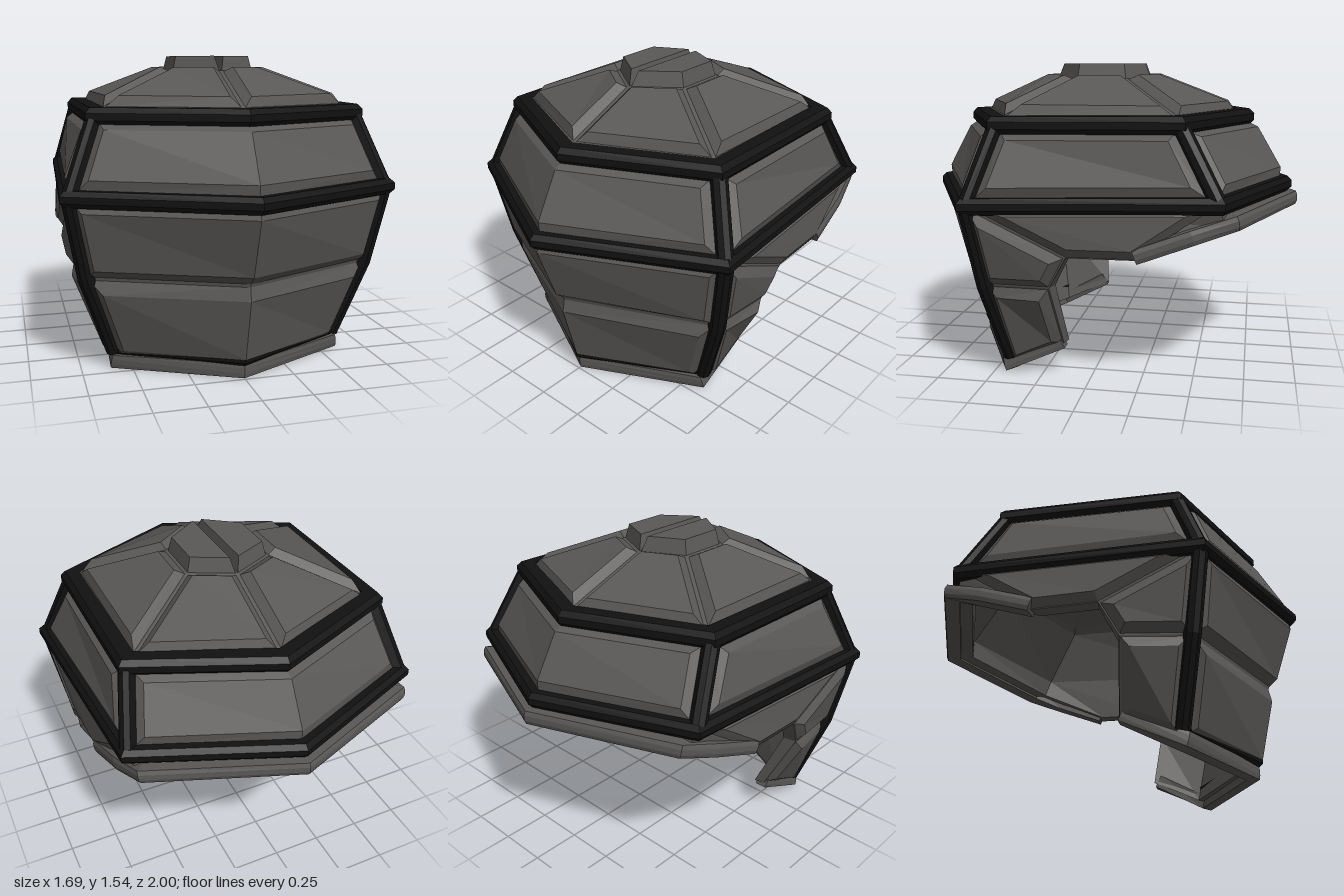
import * as THREE from 'three';

const V = (x, y, z) => new THREE.Vector3(x, y, z);
const flip = p => V(-p.x, p.y, p.z);
const grey = new THREE.MeshStandardMaterial({ color: 0x5a5856, flatShading: true });
const shellGrey = new THREE.MeshStandardMaterial({ color: 0x5a5856, flatShading: true, side: THREE.DoubleSide });
const black = new THREE.MeshStandardMaterial({ color: 0x111111, flatShading: true });

// Flat-shaded mesh from a list of polygons (corner loops)
function polyMesh(name, polys, material) {
  const pts = [];
  for (const p of polys) {
    for (let i = 1; i < p.length - 1; i++) pts.push(p[0], p[i], p[i + 1]);
  }
  const geo = new THREE.BufferGeometry().setFromPoints(pts);
  geo.computeVertexNormals();
  const mesh = new THREE.Mesh(geo, material);
  mesh.name = name;
  return mesh;
}

function loopNormal(loop) {
  const n = V(0, 0, 0);
  loop.forEach((p, i) => n.add(p.clone().cross(loop[(i + 1) % loop.length])));
  return n.normalize();
}

// Turn a loop so that it faces away from the middle of the head
function faceOut(loop) {
  const c = loop.reduce((s, p) => s.add(p), V(0, 0, 0)).divideScalar(loop.length);
  return loopNormal(loop).dot(c.sub(V(0, 0.65, 0))) < 0 ? [...loop].reverse() : loop;
}

// Shift every edge inwards by d; edges on the centre line shift by mid
function inset(loop, n, d, mid) {
  const k = loop.length;
  const edges = loop.map((p, i) => {
    const q = loop[(i + 1) % k];
    const centre = Math.abs(p.x) < 1e-4 && Math.abs(q.x) < 1e-4;
    return { n: n.clone().cross(q.clone().sub(p)).normalize(), d: centre ? mid : d };
  });
  return loop.map((p, i) => {
    const a = edges[(i + k - 1) % k], b = edges[i], c = a.n.dot(b.n), s = 1 - c * c;
    return p.clone().addScaledVector(a.n, (a.d - c * b.d) / s).addScaledVector(b.n, (b.d - c * a.d) / s);
  });
}

// Bevelled armour plate; joined plates meet their mirror image without a groove
function plate(name, corners, { gap = 0.03, bevel = 0.05, raise = 0.035, joined = false } = {}) {
  const group = new THREE.Group();
  group.name = name;
  const loop = faceOut(corners), n = loopNormal(loop);
  const low = inset(loop, n, gap, joined ? 0 : gap);
  const high = inset(loop, n, gap + bevel, joined ? 0 : gap + bevel);
  high.forEach((p, i) => {
    p.addScaledVector(n, raise);
    if (joined && Math.abs(loop[i].x) < 1e-4) p.x = low[i].x = 0;
  });
  const polys = [high];
  low.forEach((p, i) => {
    const j = (i + 1) % low.length;
    polys.push([p, low[j], high[j], high[i]]);
  });
  group.add(polyMesh(name + 'Left', polys, grey));
  group.add(polyMesh(name + 'Right', polys.map(p => p.map(flip).reverse()), grey));
  return group;
}

// Beam with a bevelled section along a path; out fixes its outer side
function beam(name, path, { closed = false, h = 0.04, d = 0.04, tip = 0.5, out, material = black } = {}) {
  const k = path.length;
  const section = [[-d, -h], [d * tip, -h], [d, -h * 0.4], [d, h * 0.4], [d * tip, h], [-d, h]];
  const rings = path.map((p, i) => {
    const next = path[closed ? (i + 1) % k : Math.min(i + 1, k - 1)];
    const prev = path[closed ? (i + k - 1) % k : Math.max(i - 1, 0)];
    const e1 = next.clone().sub(p).normalize(), e0 = p.clone().sub(prev).normalize();
    const t = e0.clone().add(e1).normalize();
    const o = out ? out.clone() : t.clone().cross(V(0, 1, 0));
    if (!out && o.dot(V(p.x, 0, p.z)) < 0) o.negate();
    o.addScaledVector(t, -o.dot(t)).normalize();
    const across = t.clone().cross(o);
    const mitre = out ? 1 : 1 / Math.max(0.6, Math.max(t.dot(e1), t.dot(e0)));
    return section.map(([u, v]) => p.clone().addScaledVector(o, u * mitre).addScaledVector(across, v));
  });
  const polys = [];
  for (let i = 0; i < (closed ? k : k - 1); i++) {
    const a = rings[i], b = rings[(i + 1) % k];
    a.forEach((p, j) => {
      const m = (j + 1) % a.length;
      polys.push([p, a[m], b[m], b[j]]);
    });
  }
  if (!closed) polys.push([...rings[0]].reverse(), rings[k - 1]);
  return polyMesh(name, polys, material);
}

// Full path from its left half, starting or ending on the centre line
const hexagon = ([f, s, b, r]) => [f, s, b, r, flip(b), flip(s)];
const across = half => [...half, ...half.slice(0, -1).reverse().map(flip)];

export function createModel() {
  const model = new THREE.Group();
  model.name = 'helmet';

  // Key corners of the left half: front, front side, back side, rear
  const cap = [V(0, 1.47, 0.31), V(0.22, 1.47, 0.15), V(0.22, 1.47, -0.11), V(0, 1.47, -0.22)];
  const crown = [V(0, 1.3, 0.7), V(0.62, 1.3, 0.42), V(0.62, 1.3, -0.42), V(0, 1.3, -0.67)];
  const upper = [V(0, 1.26, 0.75), V(0.66, 1.26, 0.445), V(0.66, 1.27, -0.43), V(0, 1.27, -0.71)];
  const mid = [V(0, 0.89, 0.95), V(0.8, 0.89, 0.56), V(0.745, 0.92, -0.62), V(0, 0.92, -0.92)];
  const jawFront = V(0, 0.49, 0.82), jawSide = V(0.72, 0.49, 0.5), jawBack = V(0.755, 0.5, 0.17);
  const chinFront = V(0, 0.05, 0.71), chinSide = V(0.575, 0.05, 0.42), chinBack = V(0.59, 0.17, 0.14);
  const earFront = V(0.79, 0.66, 0.08), earBack = V(0.78, 0.66, -0.24);
  const napeSide = V(0.72, 0.82, -0.65), nape = V(0, 0.82, -0.92);

  // Shell: outer skin, inner skin and the edge joining them
  const half = [cap];
  for (let i = 0; i < 3; i++) {
    half.push([cap[i], crown[i], crown[i + 1], cap[i + 1]]);
    half.push([crown[i], upper[i], upper[i + 1], crown[i + 1]]);
    half.push([upper[i], mid[i], mid[i + 1], upper[i + 1]]);
  }
  half.push([mid[0], jawFront, jawSide, mid[1]], [jawFront, chinFront, chinSide, jawSide]);
  half.push([mid[1], jawSide, jawBack, earFront], [jawSide, chinSide, chinBack, jawBack]);
  half.push([mid[1], earFront, earBack, napeSide, mid[2]], [mid[2], napeSide, nape, mid[3]]);
  const inner = p => V(p.x * 0.91, p.y > 1 ? p.y - 0.06 : p.y, p.z * 0.91);
  const border = [chinFront, chinSide, chinBack, jawBack, earFront, earBack, napeSide, nape];
  const edge = border.slice(1).map((p, i) => [border[i], p, inner(p), inner(border[i])]);
  const both = list => [...list, ...list.map(p => p.map(flip).reverse())];
  model.add(polyMesh('outerShell', both(half.map(faceOut)), shellGrey));
  model.add(polyMesh('innerShell', both(half.map(p => faceOut(p).map(inner).reverse())), shellGrey));
  model.add(polyMesh('shellEdge', both(edge), shellGrey));

  // Crown and upper plates, front to rear
  ['Front', 'Side', 'Rear'].forEach((part, i) => {
    const j = i + 1;
    model.add(plate('crown' + part + 'Plate', [cap[i], crown[i], crown[j], cap[j]],
      { gap: 0.01, bevel: 0.035, raise: 0.04 }));
    model.add(plate('upper' + part + 'Plate', [upper[i], mid[i], mid[j], upper[j]],
      { joined: i !== 1 }));
  });
  model.add(plate('topPlate', cap, { gap: 0.006, bevel: 0.018, raise: 0.075 }));

  // Face, cheek and ear plates
  model.add(plate('facePlate', [mid[0], jawFront, jawSide, mid[1]], { gap: 0.01, bevel: 0.05, joined: true }));
  model.add(plate('chinPlate', [jawFront, chinFront, chinSide, jawSide], { gap: 0.008, bevel: 0.06, joined: true }));
  model.add(plate('upperCheekPlate', [mid[1], jawSide, jawBack, earFront], { gap: 0.008, bevel: 0.045, raise: 0.03 }));
  model.add(plate('lowerCheekPlate', [jawSide, chinSide, chinBack, jawBack], { gap: 0.008, bevel: 0.045, raise: 0.035 }));
  model.add(plate('earPlate', [mid[1], earFront, earBack, mid[2]], { gap: 0.005, bevel: 0.04, raise: 0.03 }));

  // Dark bands around the head and chin
  model.add(beam('upperBand', hexagon(upper), { closed: true, h: 0.043, d: 0.045 }));
  model.add(beam('middleBand', hexagon(mid), { closed: true, h: 0.04, d: 0.043 }));
  model.add(beam('chinBand', across([V(0.585, 0.1, 0.41), V(0, 0.1, 0.72)]), { h: 0.03, d: 0.035 }));

  // Dark struts down the corners
  for (const s of [1, -1]) {
    const path = list => list.map(p => V(p.x * s, p.y, p.z));
    const side = s > 0 ? 'left' : 'right';
    model.add(beam(side + 'FrontStrut', path([upper[1], mid[1], V(0.725, 0.49, 0.5), V(0.585, 0.09, 0.42)]),
      { h: 0.037, d: 0.037, out: V(0.85 * s, 0, 0.5) }));
    model.add(beam(side + 'BackStrut', path([upper[2], mid[2]]), { h: 0.037, d: 0.037, out: V(0.85 * s, 0, -0.5) }));
  }

  // Chin rim and rear brim
  model.add(beam('chinRim', across([V(0.575, 0.18, 0.15), V(0.572, 0.042, 0.43), V(0, 0.042, 0.705)]),
    { h: 0.036, d: 0.032, tip: 0.9, material: grey }));
  model.add(beam('rearBrim', across([V(0.77, 0.68, -0.24), V(0.745, 0.775, -0.5), V(0.7, 0.84, -0.68), V(0, 0.845, -0.955)]),
    { h: 0.035, d: 0.04, tip: 0.8, material: grey }));
  return model;
}
